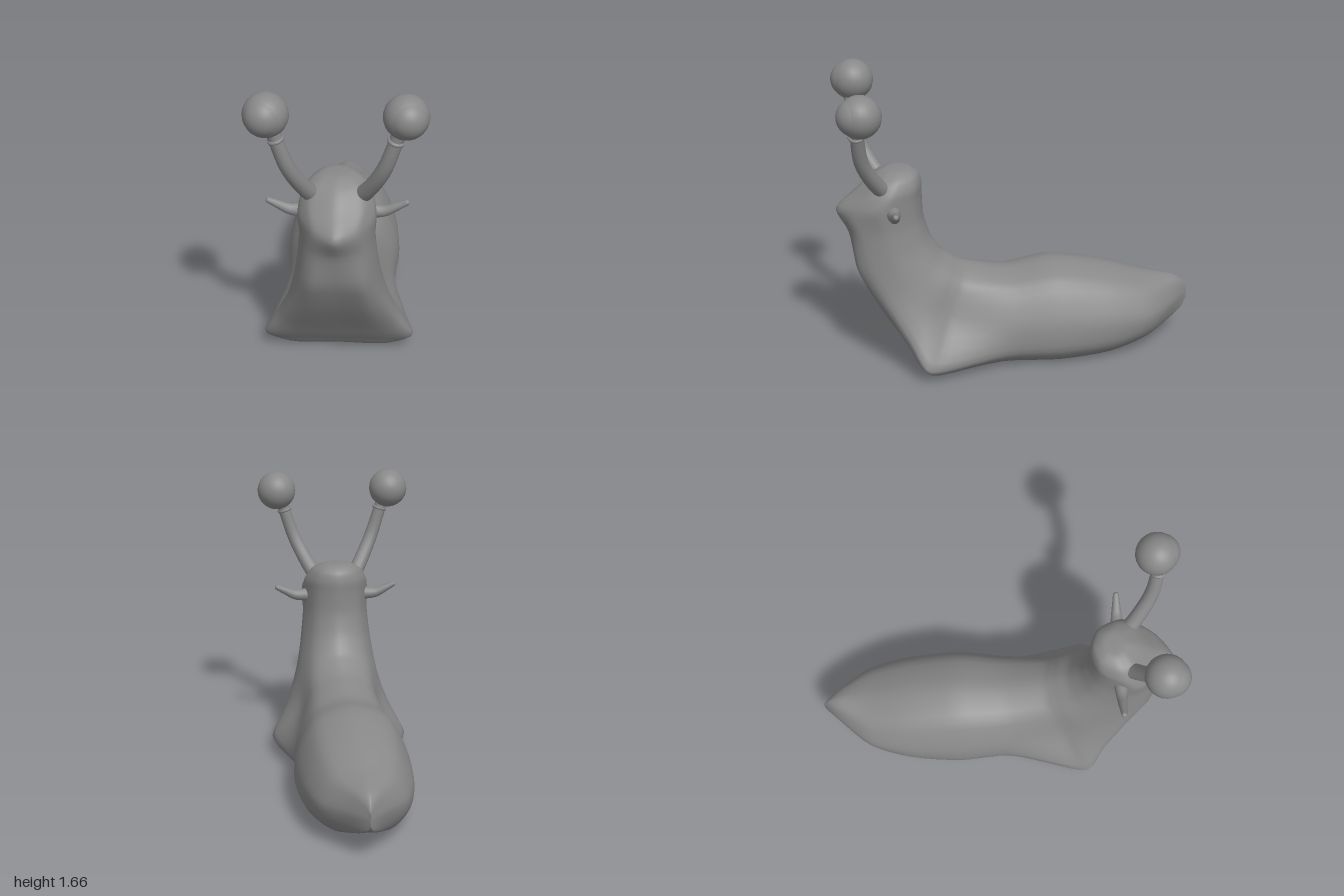
import * as THREE from 'three';

const material = new THREE.MeshStandardMaterial({ color: 0x888888 });

// Slices from tail to crown: sole/front point (z, y), back point (z, y),
// then half width b of the lower edge, its height t, and half width c at the middle.
const slices = [
  [-1.0, 0.22, -1.0, 0.285, 0, 0.2, 0],
  [-0.97, 0.18, -0.965, 0.345, 0.03, 0.25, 0.035],
  [-0.9, 0.14, -0.9, 0.385, 0.09, 0.25, 0.1],
  [-0.73, 0.07, -0.73, 0.42, 0.22, 0.22, 0.235],
  [-0.5, 0.015, -0.5, 0.49, 0.29, 0.2, 0.295],
  [-0.2, 0, -0.2, 0.545, 0.32, 0.19, 0.31],
  [0.12, 0.01, 0.05, 0.51, 0.3, 0.18, 0.28],
  [0.5, 0, 0.27, 0.55, 0.39, 0.15, 0.255],
  [0.585, 0.07, 0.33, 0.575, 0.4, 0.07, 0.25],
  [0.67, 0.2, 0.37, 0.6, 0.32, 0.1, 0.245],
  [0.8, 0.4, 0.43, 0.645, 0.24, 0.14, 0.23],
  [0.9, 0.6, 0.49, 0.74, 0.19, 0.17, 0.21],
  [0.94, 0.79, 0.525, 0.86, 0.16, 0.18, 0.195],
  [1.0, 0.92, 0.53, 0.98, 0.13, 0.2, 0.2],
  [0.9, 1.015, 0.53, 1.05, 0.145, 0.2, 0.185],
  [0.81, 1.095, 0.545, 1.105, 0.125, 0.2, 0.145],
  [0.73, 1.138, 0.59, 1.138, 0.06, 0.2, 0.08],
  [0.66, 1.143, 0.66, 1.143, 0, 0.2, 0],
];

// Closed outline of one slice, resampled; the flat sole turns into a rounded snout higher up
function sliceRing([fz, fy, bz, by, b, tb, c], count) {
  const snout = THREE.MathUtils.smoothstep(fy, 0.6, 0.92);
  const half = [[b * (0.67 - 0.08 * snout), tb * 0.45 * snout],
    [b, tb], [c, 0.5], [c * 0.66, 0.87]];
  const outline = [[0, 0], ...half, [0, 1], ...half.map(([x, t]) => [-x, t]).reverse()];
  const points = outline.map(([x, t]) =>
    new THREE.Vector3(x, fy + (by - fy) * t, fz + (bz - fz) * t));
  const curve = new THREE.CatmullRomCurve3(points, true, 'catmullrom', 0.4);
  return Array.from({ length: count }, (_, j) => curve.getPoint(j / count));
}

// Smooth skin running along the slices
function bodyGeometry() {
  const around = 40, along = (slices.length - 1) * 4;
  const rings = slices.map((s) => sliceRing(s, around));
  const positions = [], index = [];
  const rails = Array.from({ length: around }, (_, j) =>
    new THREE.CatmullRomCurve3(rings.map((r) => r[j]), false, 'catmullrom', 0.4));
  for (let i = 0; i <= along; i++) {
    for (let j = 0; j < around; j++) {
      const p = rails[j].getPoint(i / along);
      positions.push(p.x, Math.max(p.y, 0), p.z);
      if (i === along) continue;
      const k = (j + 1) % around, r = i * around, n = r + around;
      index.push(r + j, r + k, n + k, r + j, n + k, n + j);
    }
  }
  const geometry = new THREE.BufferGeometry();
  geometry.setAttribute('position', new THREE.Float32BufferAttribute(positions, 3));
  geometry.setIndex(index);
  geometry.computeVertexNormals();
  return geometry;
}

// Tube narrowing from radius r0 to r1
function taperedTube(points, r0, r1) {
  const curve = new THREE.CatmullRomCurve3(points);
  const steps = 16, sides = 14;
  const geometry = new THREE.TubeGeometry(curve, steps, 1, sides);
  const position = geometry.attributes.position, v = new THREE.Vector3();
  for (let i = 0; i < position.count; i++) {
    const t = Math.floor(i / (sides + 1)) / steps;
    const centre = curve.getPointAt(t);
    v.fromBufferAttribute(position, i).sub(centre)
      .multiplyScalar(r0 + (r1 - r0) * t).add(centre);
    position.setXYZ(i, v.x, v.y, v.z);
  }
  return geometry;
}

function add(parent, name, geometry) {
  const mesh = new THREE.Mesh(geometry, material);
  mesh.name = name;
  parent.add(mesh);
  return mesh;
}

export function createModel() {
  const model = new THREE.Group();
  model.name = 'slug';
  add(model, 'body', bodyGeometry());

  for (const side of [1, -1]) {
    const name = side > 0 ? 'left' : 'right';
    const at = (x, y, z) => new THREE.Vector3(side * x, y, z);

    // Eye stalk with a small collar under the eyeball
    const stalk = new THREE.Group();
    stalk.name = name + 'EyeStalk';
    model.add(stalk);
    add(stalk, 'stalk', taperedTube(
      [at(0.08, 0.99, 0.7), at(0.165, 1.12, 0.795), at(0.235, 1.26, 0.86), at(0.305, 1.47, 0.882)],
      0.046, 0.035));
    const collar = add(stalk, 'collar', new THREE.TorusGeometry(0.034, 0.01, 8, 18));
    collar.position.copy(at(0.288, 1.42, 0.882));
    collar.quaternion.setFromUnitVectors(
      new THREE.Vector3(0, 0, 1), at(0.28, 0.95, 0.04).normalize());

    // Eyeball with a lens bulging forward and slightly outward
    const eye = at(0.336, 1.545, 0.863), gaze = at(0.28, 0.05, 0.96).normalize();
    add(stalk, 'eyeball', new THREE.SphereGeometry(0.113, 24, 16)).position.copy(eye);
    const lens = add(stalk, 'lens',
      new THREE.SphereGeometry(0.1, 24, 10, 0, Math.PI * 2, 0, 1.3));
    lens.position.copy(eye).addScaledVector(gaze, 0.022);
    lens.quaternion.setFromUnitVectors(new THREE.Vector3(0, 1, 0), gaze);

    // Short lower feeler with a rounded tip
    const feeler = new THREE.Group();
    feeler.name = name + 'Feeler';
    model.add(feeler);
    add(feeler, 'feelerStem', taperedTube(
      [at(0.16, 0.94, 0.7), at(0.24, 0.94, 0.7), at(0.3, 0.965, 0.7), at(0.35, 0.988, 0.7)],
      0.04, 0.016));
    add(feeler, 'feelerTip', new THREE.SphereGeometry(0.016, 12, 8))
      .position.copy(at(0.35, 0.988, 0.7));
  }
  return model;
}
